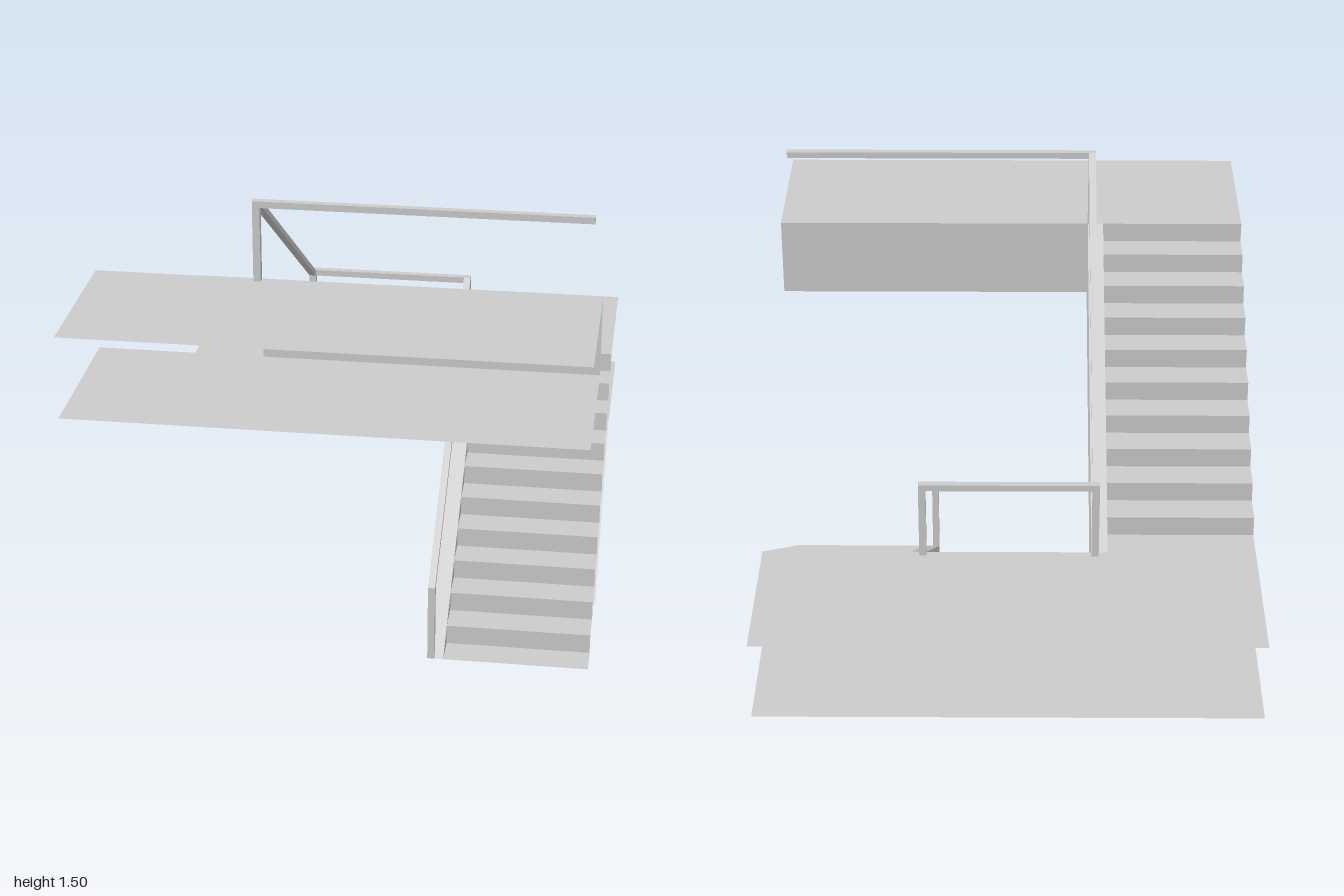
import * as THREE from 'three';

const material = new THREE.MeshStandardMaterial({ color: 0xcccccc, side: THREE.DoubleSide, flatShading: true });
const RISE = 0.625, STEPS = 10, DEPTH = 0.25;      // per flight, and slab depth
const INNER = 0.25, STRINGER = 0.3, OUTER = 0.75;  // x positions across a flight
const RAIL_W = 0.022, RAIL_H = 0.02, RAIL_TOP = 0.25;

function addMesh(parent, name, geometry) {
  const mesh = new THREE.Mesh(geometry, material);
  mesh.name = name;
  parent.add(mesh);
  return mesh;
}

// Thin sheet: a path of [z, y] points swept from x0 to x1
function sheet(parent, name, path, x0, x1) {
  const positions = [], index = [];
  path.forEach(([z, y], i) => {
    positions.push(x0, y, z, x1, y, z);
    if (i) {
      const a = 2 * i - 2;
      index.push(a, a + 1, a + 3, a, a + 3, a + 2);
    }
  });
  const g = new THREE.BufferGeometry();
  g.setAttribute('position', new THREE.Float32BufferAttribute(positions, 3));
  g.setIndex(index);
  const flat = g.toNonIndexed();
  flat.computeVertexNormals();
  return addMesh(parent, name, flat);
}

// Upright panel in the z-y plane at a given x; thickness > 0 makes it solid
function panel(parent, name, outline, x, thickness = 0) {
  const shape = new THREE.Shape(outline.map(([z, y]) => new THREE.Vector2(-z, y)));
  const g = thickness
    ? new THREE.ExtrudeGeometry(shape, { depth: thickness, bevelEnabled: false })
    : new THREE.ShapeGeometry(shape);
  g.rotateY(Math.PI / 2);
  g.translate(x, 0, 0);
  return addMesh(parent, name, g);
}

// Box given by its lower and upper corners
function bar(parent, name, lo, hi) {
  const g = new THREE.BoxGeometry(...hi.map((v, i) => v - lo[i]));
  g.translate(...hi.map((v, i) => (v + lo[i]) / 2));
  return addMesh(parent, name, g);
}

// One flight climbing towards -z; the ground flight is cut off at y = 0
function createFlight(name, onGround) {
  const flight = new THREE.Group();
  flight.name = name;
  const run = 1 / STEPS, rise = RISE / STEPS;

  // Treads and risers
  const path = [[0.5, 0]];
  for (let i = 0; i < STEPS; i++) {
    const z = 0.5 - (i + 1) * run;
    path.push([z, i * rise], [z, (i + 1) * rise]);
  }
  sheet(flight, 'steps', path, STRINGER, OUTER);

  // Stringer beside the steps
  const foot = onGround ? [[0.5 - DEPTH / RISE, 0]] : [[0.5, -DEPTH]];
  sheet(flight, 'stringerTop', [[0.5, 0], [-0.5, RISE]], INNER, STRINGER);
  panel(flight, 'stringerOuterFace', [[0.5, 0], [-0.5, RISE], [-0.5, RISE - DEPTH], ...foot], INNER);
  panel(flight, 'stringerInnerFace', [[0.5, 0], [-0.5, RISE], [-0.5, RISE - rise], [0.5 - run, 0]], STRINGER);

  // Sloping soffit
  sheet(flight, 'soffit', [[-0.5, RISE - DEPTH], ...foot], INNER, OUTER);

  // Sloping handrail
  const top = RAIL_TOP, end = RISE + RAIL_TOP;
  panel(flight, 'slopingHandrail',
    [[0.5, top - RAIL_H], [0.5, top], [-0.5, end], [-0.5, end - RAIL_H]], INNER, RAIL_W);
  return flight;
}

// Landing made of a top and a bottom sheet, with a fascia towards the stairwell
function createLanding(name, y, zBack, zFront, zFascia, x0, x1) {
  const landing = new THREE.Group();
  landing.name = name;
  sheet(landing, 'landingFloor', [[zFront, y], [zBack, y]], -OUTER, OUTER);
  sheet(landing, 'landingSoffit', [[zBack, y - DEPTH], [zFront, y - DEPTH]], -OUTER, OUTER);
  sheet(landing, 'landingFascia', [[zFascia, y - DEPTH], [zFascia, y]], x0, x1);
  return landing;
}

export function createModel() {
  const model = new THREE.Group();
  model.name = 'staircase';

  // Two flights, the upper one turned half round
  const upper = createFlight('upperFlight', false);
  upper.rotation.y = Math.PI;
  upper.position.y = RISE;
  model.add(createFlight('lowerFlight', true), upper);

  model.add(
    createLanding('middleLanding', RISE, -1, -0.5, -0.5, -INNER, INNER),
    createLanding('upperLanding', 2 * RISE, 0.5, 1, 0.5, OUTER, -INNER)
  );

  // Posts and level rails
  const rails = new THREE.Group();
  rails.name = 'railing';
  const edge = INNER + RAIL_W, back = -0.5 - RAIL_W, front = 0.5 + RAIL_W;
  const mid = RISE + RAIL_TOP, high = 2 * RISE + RAIL_TOP;
  bar(rails, 'bottomPost', [INNER, 0, 0.5 - RAIL_W], [edge, RAIL_TOP, 0.5]);
  bar(rails, 'middleLeftPost', [INNER, RISE, back], [edge, mid, -0.5]);
  bar(rails, 'middleRightPost', [-edge, RISE, back], [-INNER, mid, -0.5]);
  bar(rails, 'middleRail', [-INNER, mid - RAIL_H, back], [INNER, mid, -0.5]);
  bar(rails, 'topPost', [-edge, 2 * RISE, 0.5], [-INNER, high, front]);
  bar(rails, 'topRail', [-INNER, high - RAIL_H, 0.5], [0.72, high, front]);
  model.add(rails);
  return model;
}
